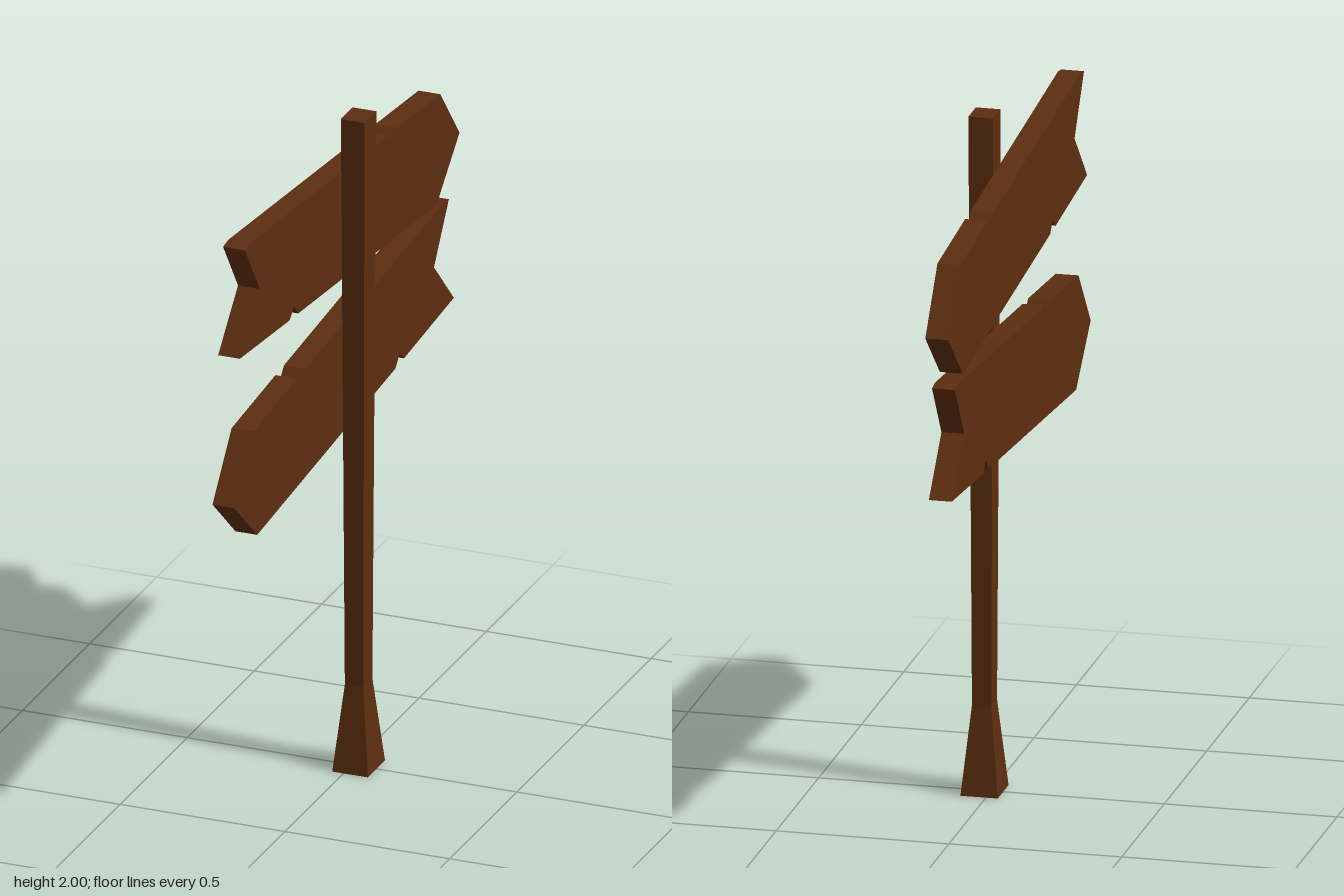
import * as THREE from 'three';

const wood = new THREE.MeshStandardMaterial({ color: 0x5c2e10 });
wood.name = 'brownWood';

// Arrow board outline as [z, y]: chipped tail corner, notches, point, swallow tail
const OUTLINE = [
  [0.764, 1.892], [0.727, 1.898], [-0.302, 1.808], [-0.334, 1.775], [-0.366, 1.804],
  [-0.692, 1.775], [-0.835, 1.598], [-0.664, 1.446], [0.366, 1.535], [0.398, 1.569],
  [0.43, 1.54], [0.801, 1.574], [0.653, 1.728],
];

function board(name, flip, dz, dy) {
  const pts = OUTLINE.map(([z, y]) => new THREE.Vector2(-(flip * z + dz), y + dy));
  const geo = new THREE.ExtrudeGeometry(new THREE.Shape(pts), { depth: 0.066, bevelEnabled: false });
  geo.rotateY(Math.PI / 2).translate(-0.08, 0, 0);
  const mesh = new THREE.Mesh(geo, wood);
  mesh.name = name;
  return mesh;
}

// Square post: flared foot, narrow neck, slightly wider top
function post() {
  const levels = [[0, 0.054, 0.064], [0.26, 0.028, 0.034], [2, 0.036, 0.044]];
  const geo = new THREE.BoxGeometry(1, 2, 1, 1, 2, 1);
  const p = geo.attributes.position;
  for (let i = 0; i < p.count; i++) {
    const [y, hx, hz] = levels[Math.round(p.getY(i)) + 1];
    p.setXYZ(i, 0.02 + Math.sign(p.getX(i)) * hx, y, Math.sign(p.getZ(i)) * hz);
  }
  const flat = geo.toNonIndexed();
  flat.computeVertexNormals();
  const mesh = new THREE.Mesh(flat, wood);
  mesh.name = 'post';
  return mesh;
}

export function createModel() {
  const group = new THREE.Group();
  group.name = 'signpost';
  group.add(
    post(),
    board('upperArrowBoard', 1, 0, 0),
    board('lowerArrowBoard', -1, 0.008, -0.466),
  );
  return group;
}
